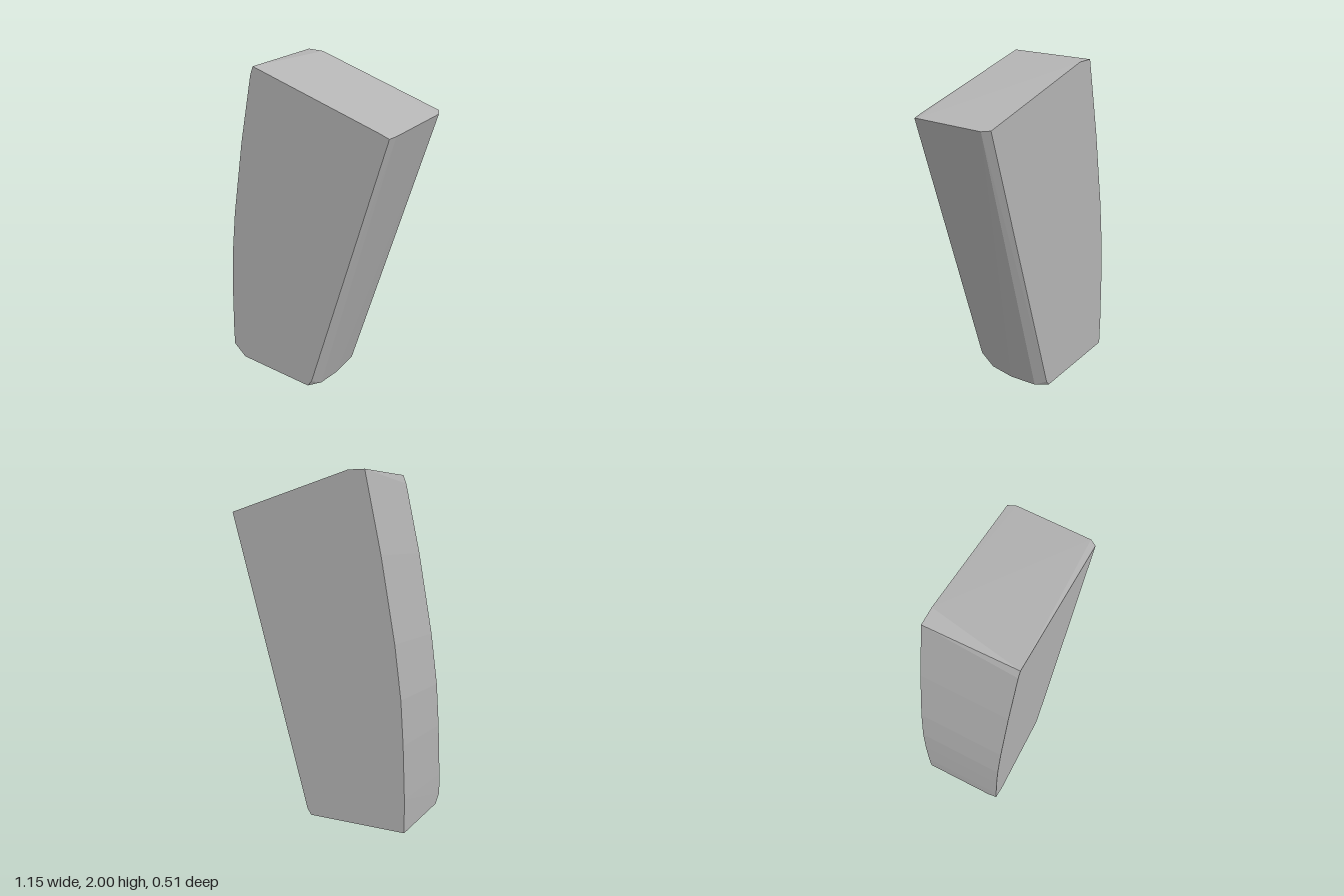
import * as THREE from 'three';
import { ConvexGeometry } from 'three/addons/geometries/ConvexGeometry.js';

const HALF = 0.255; // half thickness of the slab

export function createModel() {
  const group = new THREE.Group();
  group.name = 'stoneBlock';
  const stone = new THREE.MeshStandardMaterial({ color: 0xb4b4b4 });
  stone.name = 'grey stone';

  const points = [];
  const add = (z, outline) => outline.forEach(([x, y]) => points.push(new THREE.Vector3(x, y, z)));

  // bowed left side, shared by the front and back faces
  const bow = [[-0.33, 1.95], [-0.42, 1.55], [-0.506, 1.08], [-0.546, 0.78], [-0.563, 0.53], [-0.575, 0.23]];

  // front face: clipped lower corners
  add(HALF, [[-0.31, 2], ...bow, [-0.576, 0.11], [-0.49, 0.04], [0.03, 0.04], [0.06, 0.085], [0.555, 1.77], [0.5, 1.787]]);
  // back face: flattened top corner, square lower left corner
  add(-HALF, [[-0.32, 2], [-0.22, 2], ...bow, [-0.576, 0.04], [0.02, 0.03], [0.045, 0.065], [0.55, 1.788]]);

  // worn right side and slightly rounded underside
  add(0.22, [[0.573, 1.778]]);
  add(-0.21, [[0.573, 1.782]]);
  add(0.16, [[-0.52, 0.025], [0.065, 0.02]]);
  add(0, [[-0.43, 0.003], [0.073, 0.01]]);
  add(-0.18, [[0.068, 0.024]]);
  add(0.2, [[-0.576, 0.06]]);

  const block = new THREE.Mesh(new ConvexGeometry(points), stone);
  block.name = 'block';
  group.add(block);
  return group;
}
